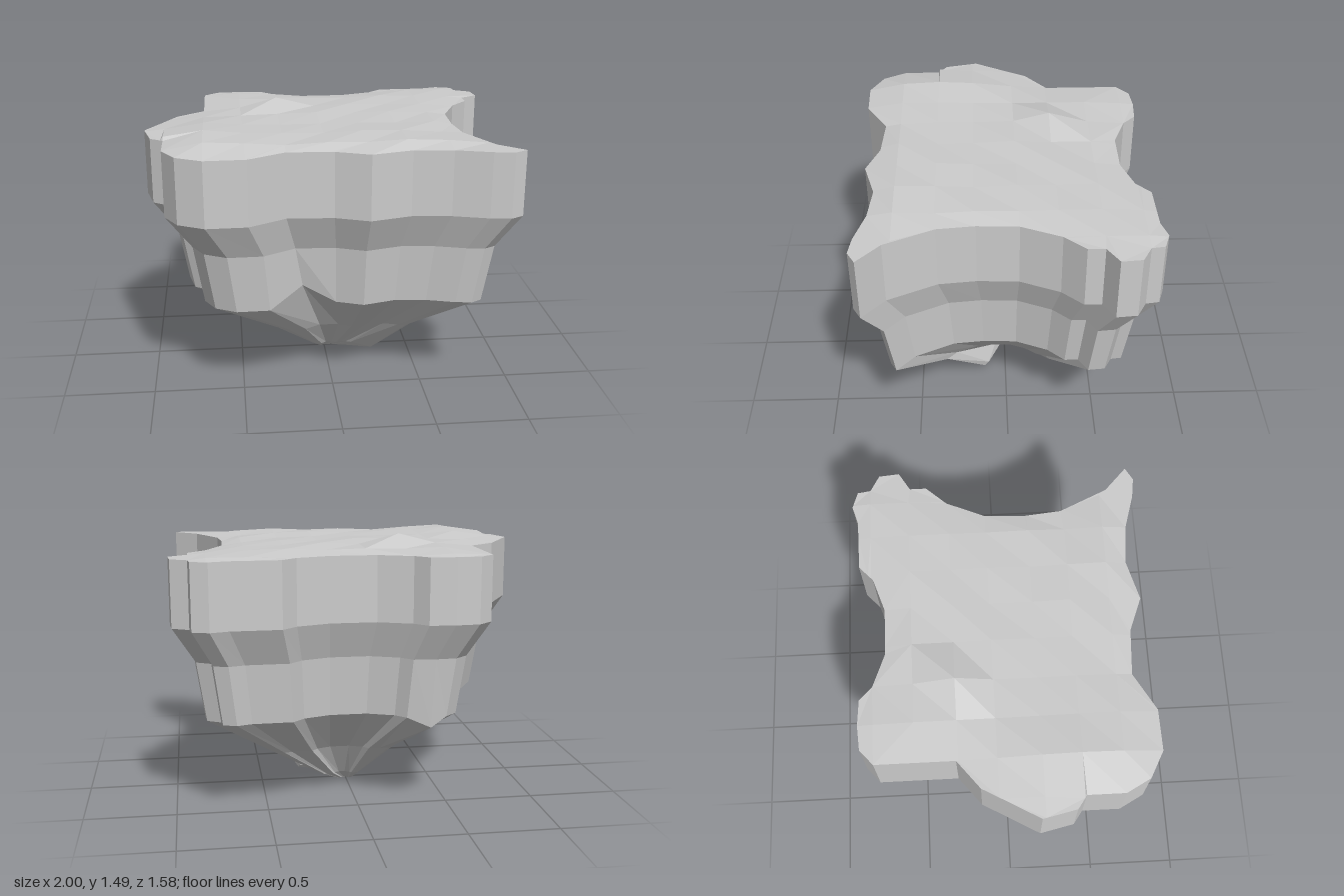
import * as THREE from 'three';

const RIM = 1.415;

// Island coastline seen from above, as [x, z]
const COAST = [
  [-0.68, -0.69], [-0.6, -0.76], [-0.47, -0.77], [-0.33, -0.76], [-0.26, -0.69],
  [-0.08, -0.62], [0.17, -0.62], [0.35, -0.68], [0.43, -0.755], [0.7, -0.76],
  [0.8, -0.79], [0.89, -0.76], [0.9, -0.69], [0.99, -0.64], [1, -0.53],
  [0.9, -0.47], [0.9, -0.38], [0.8, -0.27], [0.71, -0.06], [0.7, 0.16],
  [0.72, 0.36], [0.84, 0.62], [0.97, 0.74], [0.9, 0.78], [0.79, 0.765],
  [0.6, 0.71], [0.39, 0.69], [0.17, 0.75], [-0.01, 0.68], [-0.26, 0.665],
  [-0.46, 0.78], [-0.68, 0.785], [-0.82, 0.71], [-0.89, 0.58], [-0.89, 0.38],
  [-0.96, 0.33], [-1, 0.15], [-0.92, 0.01], [-0.83, -0.15], [-0.68, -0.27],
];

// Cliff levels: height, x scale, z scale, x shift, z shift
const LEVELS = [
  [RIM, 1, 1, 0, 0],
  [1.06, 1, 1, 0, 0],
  [0.86, 0.865, 0.87, 0.015, 0],
  [0.53, 0.81, 0.815, 0.02, 0],
  [0.28, 0.425, 0.46, 0.055, 0],
  [0.08, 0.14, 0.21, 0.035, -0.015],
  [0.025, 0.06, 0.1, 0.01, -0.02],
];

// Single rocks pulled out of the regular levels: 'level,point' -> [x, y, z]
const ROCKS = {
  '5,21': [0.26, 0.05, 0.1],
  '5,22': [0.27, 0.03, 0.125],
  '5,23': [0.25, 0.04, 0.13],
  '3,29': [-0.17, 0.63, 0.54],
  '3,2': [-0.38, 0.47, -0.625],
};

// Grassy top: grid lines and heights (hundredths above the rim)
const GRID_X = [-1.1, -0.89, -0.68, -0.47, -0.26, -0.04, 0.17, 0.38, 0.6, 0.81, 1.1];
const GRID_Z = [-0.9, -0.69, -0.48, -0.26, -0.06, 0.17, 0.37, 0.58, 0.9];
const HEIGHTS = [
  [0, 0, 0, 0, 0, 0, 0, 0, 0, 0, 0],
  [0, 0, 0, 1, 1, 0, 0, 0, 1, 1, 0],
  [0, 0, 0, 2, 1.5, 2, 1.5, 2.5, 2, 1, 0],
  [0, 0, 0, 2, 7.5, 2, 3, 2, 2, 1, 0],
  [0, 0, 1.5, 2, 2.5, 3, 2, 2.5, 1.5, 0, 0],
  [0, 1, 4, 2.5, 2, 2, 2, 1.5, 2, 0, 0],
  [0, 2, 5, 3, 2.5, 2, 3, 2.5, 1, 0, 0],
  [0, 1, 4, 3, 1.5, 2.5, 2, 3, 2, 0, 0],
  [0, 0, 0, 0, 0, 0, 0, 0, 0, 0, 0],
];

function flatMesh(name, positions) {
  const geometry = new THREE.BufferGeometry();
  geometry.setAttribute('position', new THREE.Float32BufferAttribute(positions, 3));
  geometry.computeVertexNormals();
  const material = new THREE.MeshStandardMaterial({ color: 0xcccccc, flatShading: true });
  const mesh = new THREE.Mesh(geometry, material);
  mesh.name = name;
  return mesh;
}

// Tapering cliff: stacked coast outlines closed by a point underneath
function createCliff() {
  const rings = LEVELS.map(([y, sx, sz, cx, cz], l) =>
    COAST.map(([x, z], i) => ROCKS[`${l},${i}`] || [x * sx + cx, y, z * sz + cz]));
  rings.push(COAST.map(() => [0, 0, -0.02]));
  const out = [];
  for (let l = 0; l < rings.length - 1; l++) {
    for (let i = 0; i < COAST.length; i++) {
      const j = (i + 1) % COAST.length;
      const a = rings[l][i], b = rings[l][j], c = rings[l + 1][j], d = rings[l + 1][i];
      out.push(...a, ...b, ...d);
      if (l < rings.length - 2) out.push(...b, ...c, ...d);
    }
  }
  return flatMesh('cliff', out);
}

// Keep the part of a polygon on one side of a grid line
function clip(polygon, axis, limit, sign) {
  const out = [];
  polygon.forEach((p, i) => {
    const q = polygon[(i + 1) % polygon.length];
    const dp = (p[axis] - limit) * sign, dq = (q[axis] - limit) * sign;
    if (dp >= 0) out.push(p);
    if (dp * dq < 0) {
      const t = dp / (dp - dq);
      const cut = [p[0] + (q[0] - p[0]) * t, p[1] + (q[1] - p[1]) * t];
      cut[axis] = limit;
      out.push(cut);
    }
  });
  return out;
}

// Uneven ground: the coast cut into grid cells, raised at the grid corners
function createGround() {
  const out = [];
  const lift = ([x, z]) => {
    const i = GRID_X.findIndex((g) => Math.abs(g - x) < 1e-6);
    const j = GRID_Z.findIndex((g) => Math.abs(g - z) < 1e-6);
    const onCoast = COAST.some((c) => Math.hypot(c[0] - x, c[1] - z) < 1e-6);
    return [x, RIM + (i >= 0 && j >= 0 && !onCoast ? HEIGHTS[j][i] / 100 : 0), z];
  };
  for (let j = 0; j < GRID_Z.length - 1; j++) {
    for (let i = 0; i < GRID_X.length - 1; i++) {
      let cell = clip(COAST, 0, GRID_X[i], 1);
      cell = clip(cell, 0, GRID_X[i + 1], -1);
      cell = clip(cell, 1, GRID_Z[j], 1);
      cell = clip(cell, 1, GRID_Z[j + 1], -1);
      if (cell.length < 3) continue;
      const points = cell.map(([x, z]) => new THREE.Vector2(x, z));
      for (const face of THREE.ShapeUtils.triangulateShape(points, [])) {
        const [a, b, c] = face.map((k) => [points[k].x, points[k].y]);
        const area = (b[0] - a[0]) * (c[1] - a[1]) - (b[1] - a[1]) * (c[0] - a[0]);
        if (Math.abs(area) < 1e-7) continue;
        const order = area < 0 ? [a, b, c] : [a, c, b];
        order.forEach((p) => out.push(...lift(p)));
      }
    }
  }
  return flatMesh('ground', out);
}

export function createModel() {
  const island = new THREE.Group();
  island.name = 'floatingIsland';
  island.add(createCliff(), createGround());
  return island;
}
